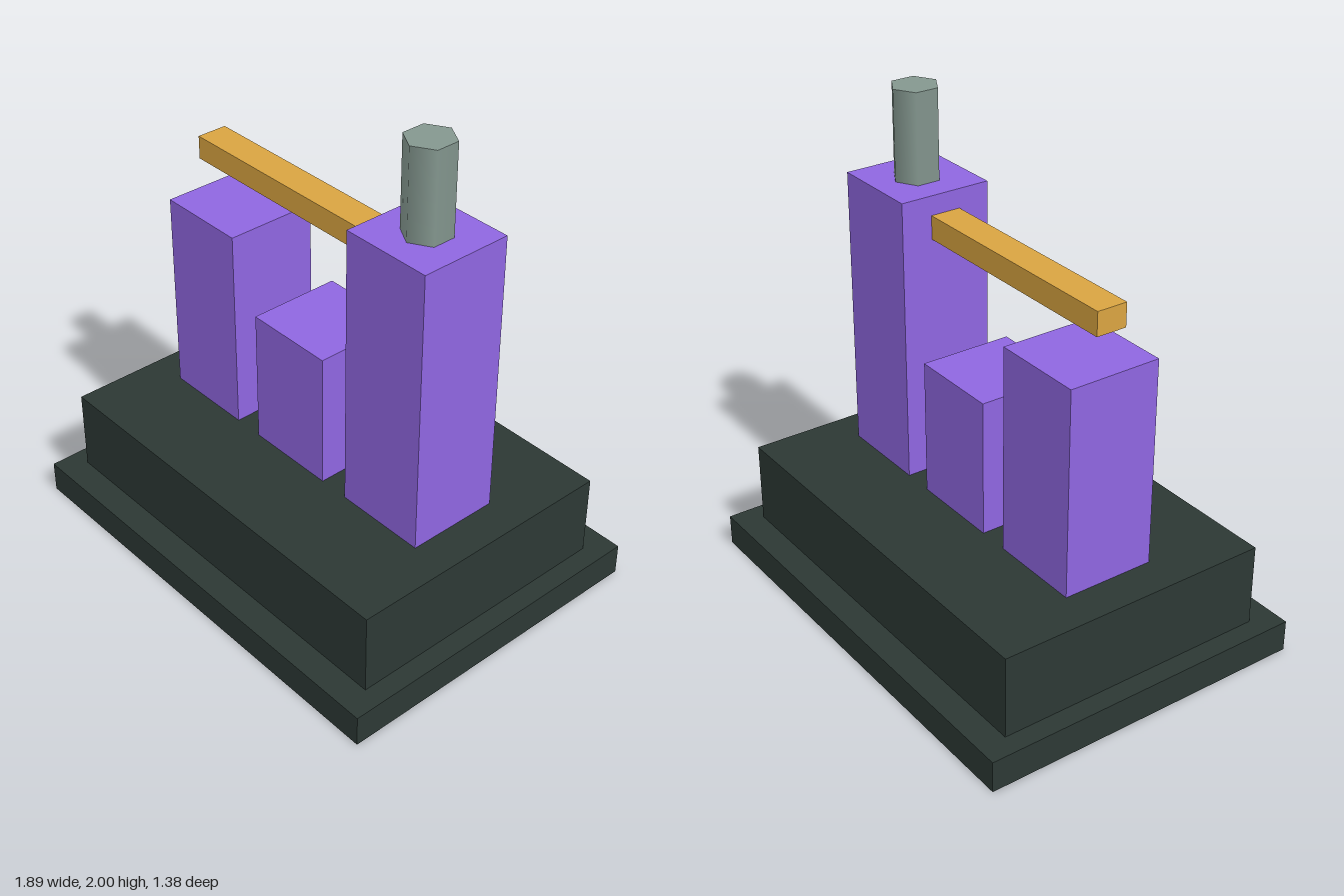
import * as THREE from 'three';

export function createModel() {
  const model = new THREE.Group();
  const material = (color) => new THREE.MeshStandardMaterial({ color });
  const dark = material(0x2c3834);
  const purple = material(0x8f66e0);
  const gold = material(0xd9a441);
  const steel = material(0x84978f);

  function add(name, geometry, mat, x, y) {
    const mesh = new THREE.Mesh(geometry, mat);
    mesh.name = name;
    mesh.position.set(x, y, 0);
    model.add(mesh);
  }
  // Box standing on height y0 and reaching y1
  function block(name, mat, x, y0, y1, width, depth) {
    add(name, new THREE.BoxGeometry(width, y1 - y0, depth), mat, x, (y0 + y1) / 2);
  }

  // Stepped base
  block('basePlate', dark, 0, 0, 0.13, 1.89, 1.376);
  block('plinth', dark, 0, 0.13, 0.468, 1.724, 1.15);

  // Three square pillars
  const pillars = [
    ['rightPillar', -0.51, 1.314],
    ['middlePillar', 0, 1.027],
    ['leftPillar', 0.51, 1.635],
  ];
  for (const [name, x, top] of pillars) block(name, purple, x, 0.468, top, 0.384, 0.384);

  // Beam reaching out from the tall pillar
  block('beam', gold, -0.176, 1.46, 1.556, 0.992, 0.126);

  // Six-sided post on the tall pillar
  add('hexPost', new THREE.CylinderGeometry(0.096, 0.096, 0.365, 6), steel, 0.511, 1.8175);

  return model;
}
